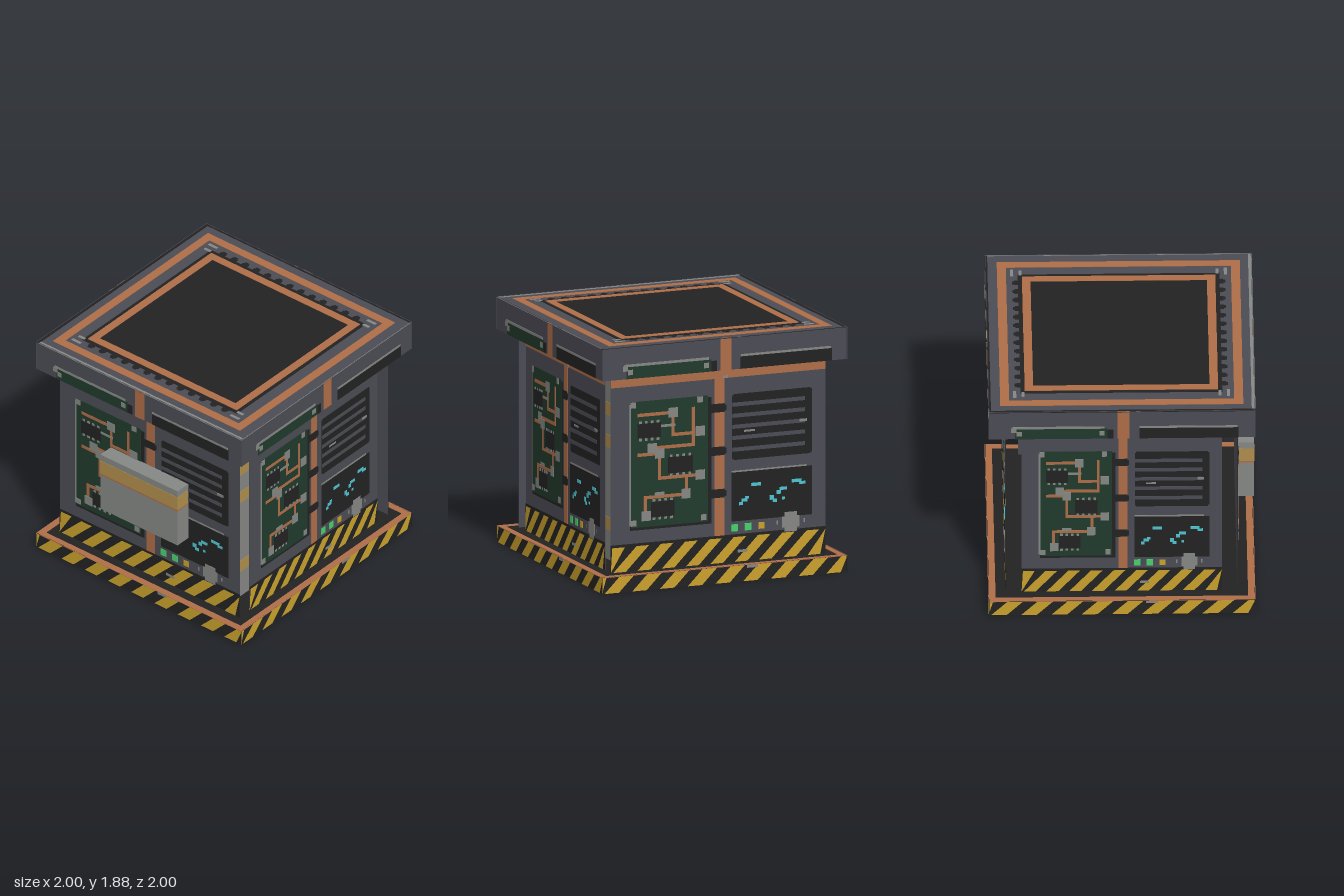
import * as THREE from 'three';
import { mergeGeometries } from 'three/addons/utils/BufferGeometryUtils.js';

const colours = {
  casing: 0x4b4b54, copper: 0xae6d47, boardGreen: 0x213a2c, black: 0x222222, metal: 0x858784,
  hazardYellow: 0xc9a12c, tan: 0xb08e4c, lampGreen: 0x48d06c, cyan: 0x4fc4cf,
};
const STEP = 0.003; // thickness of one painted layer
const PW = 0.875, P0 = 0.125, P1 = 1.63, PC = (P0 + P1) / 2; // wall half width, bottom, top, centre

export function createModel() {
  const mats = {};
  for (const [name, color] of Object.entries(colours)) {
    mats[name] = new THREE.MeshStandardMaterial({ color });
    mats[name].name = name;
  }
  const model = new THREE.Group();
  model.name = 'machineBlock';

  const add = (parent, name, geometry, mat) => {
    const mesh = new THREE.Mesh(geometry, mats[mat]);
    mesh.name = name;
    parent.add(mesh);
    return mesh;
  };
  const box = (name, mat, x0, x1, y0, y1, z0, z1) => add(model, name,
    new THREE.BoxGeometry(x1 - x0, y1 - y0, z1 - z0)
      .translate((x0 + x1) / 2, (y0 + y1) / 2, (z0 + z1) / 2), mat);

  // Thin plates [x0, x1, y0, y1] on one layer, merged into a single part
  const plates = (parent, name, mat, layer, rects, cy = 0) => add(parent, name,
    mergeGeometries(rects.map(([x0, x1, y0, y1]) => new THREE.BoxGeometry(x1 - x0, y1 - y0, STEP)
      .translate((x0 + x1) / 2, (y0 + y1) / 2 - cy, (layer - 0.5) * STEP))), mat);
  const square = (x, y, s, h = s) => [x - s / 2, x + s / 2, y - h / 2, y + h / 2];
  // Hollow square frame made of four strips
  const frame = (o, i) => [[-o, o, i, o], [-o, o, -o, -i], [-o, -i, -i, i], [i, o, -i, i]];

  // Diagonal warning stripes within a strip
  const hazard = (parent, w, y0, y1, period, slant, layer) => {
    const clamp = (x) => Math.max(-w, Math.min(w, x));
    const shapes = [];
    for (let x = -w - period; x < w; x += period) {
      const a = x + 0.02, b = a + period * 0.52;
      if (b + slant <= -w || a >= w) continue;
      shapes.push(new THREE.Shape([[a, y0], [b, y0], [b + slant, y1], [a + slant, y1]]
        .map(([px, py]) => new THREE.Vector2(clamp(px), py))));
    }
    add(parent, 'hazardStripes', new THREE.ShapeGeometry(shapes).translate(0, 0, layer * STEP), 'hazardYellow');
  };

  // Wall panel with circuit board, vents, display and lamps
  const makePanel = (name) => {
    const g = new THREE.Group();
    g.name = name;
    const p = (part, mat, layer, rects) => plates(g, part, mat, layer, rects, PC);
    p('wall', 'casing', 0, [[-PW, PW, P0, P1]]);
    p('copperStrips', 'copper', 1, [[-PW, PW, 1.54, P1], [-0.03, 0.05, 0.335, 1.54]]);
    p('hazardBacking', 'black', 1, [[-PW, PW, P0, 0.335]]);
    hazard(g, PW, P0 - PC, 0.315 - PC, 0.198, 0.19, 1.2);
    p('stripScratches', 'metal', 2, [[0.16, 0.24, 0.195, 0.215], [0.04, 0.08, 1.54, 1.56]]);

    // Circuit board
    p('boardShadow', 'black', 1, [[-0.715, -0.055, 0.435, 1.405]]);
    p('board', 'boardGreen', 2, [[-0.71, -0.085, 0.455, 1.42]]);
    p('boardEdge', 'metal', 2, [[-0.725, -0.71, 0.47, 1.4]]);
    p('boardScrews', 'metal', 3, [[-0.695, 1.395], [-0.15, 1.395], [-0.69, 0.49], [-0.12, 0.49]]
      .map(([x, y]) => square(x, y, 0.045)));
    const t = 0.0125;
    const across = (x0, x1, y) => [x0, x1, y - t, y + t];
    const up = (x, y0, y1) => [x - t, x + t, y0 - t, y1 + t];
    p('traces', 'copper', 3, [
      across(-0.66, -0.37, 1.315), up(-0.37, 1.145, 1.315), across(-0.37, -0.2, 1.145), up(-0.205, 1.055, 1.33),
      across(-0.54, -0.2, 1.055), across(-0.66, -0.48, 1.01), up(-0.48, 0.82, 1.01), across(-0.48, -0.15, 0.82),
      up(-0.26, 0.685, 0.82), across(-0.595, -0.27, 0.68), up(-0.595, 0.55, 0.68),
    ]);
    p('solderPads', 'metal', 4, [
      ...[[-0.37, 1.315], [-0.15, 1.155], [-0.54, 1.055], [-0.48, 1.01], [-0.15, 0.82], [-0.265, 0.685],
        [-0.59, 0.54]].map(([x, y]) => square(x, y, 0.075)),
      [-0.47, -0.35, 1.21, 1.23], [-0.52, -0.44, 0.69, 0.715],
    ]);
    const chips = [[-0.66, -0.47, 1.135, 1.25], [-0.41, -0.21, 0.85, 0.975], [-0.55, -0.36, 0.525, 0.645]];
    p('chips', 'black', 4, chips);
    const pins = [];
    for (const [x0, x1, y0, y1] of chips)
      for (let i = 0; i < 4; i++)
        for (const y of [y0 - 0.008, y1 + 0.008]) pins.push(square(x0 + (x1 - x0) * (i + 0.5) / 4, y, 0.022));
    p('chipPins', 'metal', 4, pins);
    p('cableClips', 'black', 2, [1.315, 0.985, 0.66].flatMap((y) =>
      [[-0.06, 0.05, y - 0.033, y + 0.033], [0.05, 0.065, y - 0.022, y + 0.022]]));

    // Vents
    p('ventRecess', 'black', 1, [[0.125, 0.755, 0.905, 1.41], [0.115, 0.765, 0.915, 1.4]]);
    p('ventSlats', 'casing', 2, [1.33, 1.245, 1.16, 1.075, 0.985].map((y) => [0.115, 0.705, y - 0.015, y + 0.015]));
    p('ventGlints', 'metal', 3, [[0.66, 0.72, 1.155, 1.175], [0.21, 0.3, 1.115, 1.13]]);

    // Display, lamps and dial
    p('display', 'black', 1, [[0.11, 0.765, 0.435, 0.81]]);
    p('displayEdge', 'metal', 1, [[0.11, 0.72, 0.81, 0.822]]);
    p('displaySigns', 'cyan', 2, [
      [0.27, 0.35, 0.693, 0.718], [0.6, 0.68, 0.693, 0.718], [0.66, 0.71, 0.675, 0.697], [0.5, 0.56, 0.643, 0.667],
      [0.475, 0.51, 0.615, 0.645], [0.42, 0.455, 0.575, 0.61], [0.52, 0.545, 0.57, 0.59], [0.17, 0.2, 0.555, 0.58],
      [0.19, 0.24, 0.58, 0.605], [0.22, 0.25, 0.6, 0.62], [0.445, 0.48, 0.555, 0.58],
    ]);
    p('greenLamps', 'lampGreen', 1, [square(0.135, 0.385, 0.055), square(0.245, 0.385, 0.055)]);
    p('amberLamp', 'hazardYellow', 1, [square(0.355, 0.385, 0.05)]);
    p('dial', 'metal', 2, [square(0.59, 0.395, 0.14, 0.085), square(0.59, 0.395, 0.1, 0.15),
      square(0.48, 0.395, 0.012, 0.03), square(0.7, 0.395, 0.012, 0.03)]);
    model.add(g);
    return g;
  };

  // Four walls, open at the corners; the side walls are narrower
  const sides = ['front', 'right', 'back', 'left'];
  sides.forEach((side, i) => {
    const a = i * Math.PI / 2;
    const wall = makePanel(side + 'Wall');
    wall.rotation.y = a;
    wall.position.set(Math.sin(a) * 0.868, PC, Math.cos(a) * 0.868);
    if (i % 2) wall.scale.x = 0.75 / PW;
  });
  // The same panel faces down under the base and under the lid
  [['basePanel', 0.012], ['lidUnderPanel', 1.64]].forEach(([name, y]) => {
    const under = makePanel(name);
    under.rotation.set(Math.PI / 2, 0, Math.PI);
    under.scale.set(0.995 / PW, 1.99 / (P1 - P0), 1);
    under.position.y = y;
  });

  // Inner core seen through the open corners
  box('core', 'metal', -0.7, 0.7, P0, P1, -0.7, 0.7);
  for (const y of [0.4, 1.03, 1.28]) box('coreBand', 'tan', -0.703, 0.703, y - 0.05, y + 0.05, -0.703, 0.703);

  // Base and lid slabs
  box('base', 'black', -0.993, 0.993, 0.012, 0.122, -0.993, 0.993);
  box('lid', 'casing', -0.993, 0.993, 1.64, 1.874, -0.993, 0.993);
  sides.forEach((side, i) => {
    const g = new THREE.Group();
    g.name = side + 'Rim';
    g.rotation.y = i * Math.PI / 2;
    g.position.set(Math.sin(g.rotation.y) * 0.993, 0, Math.cos(g.rotation.y) * 0.993);
    model.add(g);
    plates(g, 'baseEdge', 'black', 1, [[-1, 1, 0, 0.125]]);
    hazard(g, 1, 0, 0.125, 0.226, 0.125, 1.2);
    plates(g, 'baseScratch', 'metal', 2, [[0.18, 0.27, 0.1, 0.122]]);
    plates(g, 'lidEdge', 'casing', 1, [[-1, 1, 1.63, 1.88]]);
    plates(g, 'lidCopperStrip', 'copper', 2, [[-0.035, 0.055, 1.63, 1.88]]);
    plates(g, 'lidRecesses', 'black', 2, [[-0.11, -0.065, 1.63, 1.71], [0.13, 0.872, 1.63, 1.725]]);
    plates(g, 'lidBoard', 'boardGreen', 2, [[-0.8, -0.11, 1.63, 1.722]]);
    plates(g, 'lidTrim', 'metal', 2, [[-0.82, -0.13, 1.722, 1.742], [0.13, 0.865, 1.725, 1.742],
      [0.105, 0.14, 1.87, 1.88]]);
    plates(g, 'lidScrews', 'metal', 3, [square(-0.77, 1.68, 0.04), square(-0.15, 1.68, 0.04),
      square(-0.81, 1.71, 0.04)]);
  });

  // Upward faces: local y points to the back
  const face = (name, y) => {
    const g = new THREE.Group();
    g.name = name;
    g.rotation.x = -Math.PI / 2;
    g.position.y = y;
    model.add(g);
    return g;
  };
  plates(face('baseTop', 0.122), 'baseCopperFrame', 'copper', 1, frame(1, 0.945));

  const top = face('lidTop', 1.874);
  plates(top, 'topPlate', 'casing', 0, [[-1, 1, -1, 1]]);
  plates(top, 'darkRim', 'black', 1, [[-1, -0.972, -1, 1], [-0.972, 1, 0.98, 1]]);
  plates(top, 'lightRim', 'metal', 1, [[-0.972, 1, -1, -0.972], [0.99, 1, -0.972, 0.98]]);
  plates(top, 'outerCopperFrame', 'copper', 1, frame(0.91, 0.842));
  plates(top, 'centreHatch', 'black', 1, [[-0.752, 0.752, -0.755, 0.755]]);
  plates(top, 'innerCopperFrame', 'copper', 2, frame(0.724, 0.66));
  const teeth = [], slots = [];
  for (const s of [-1, 1]) {
    for (let i = -6; i <= 6; i++) teeth.push(square(i * 0.108, s * 0.765, 0.055, 0.035), square(i * 0.108, s * 0.785, 0.035, 0.025));
    for (const x of [-0.77, 0.77]) slots.push(square(x, s * 0.8, 0.085, 0.024), square(x, s * 0.737, 0.06, 0.024));
  }
  plates(top, 'hatchTeeth', 'black', 1, teeth);
  plates(top, 'cornerSlots', 'metal', 2, slots);

  // Banded plate mounted on the front
  box('frontPlate', 'metal', -0.375, 0.375, 0.63, 1.125, 0.87, 0.997);
  box('frontPlateBand', 'tan', -0.378, 0.378, 0.955, 1.07, 0.875, 1);
  box('frontPlateLine', 'copper', -0.377, 0.377, 0.942, 0.955, 0.875, 0.999);
  return model;
}
